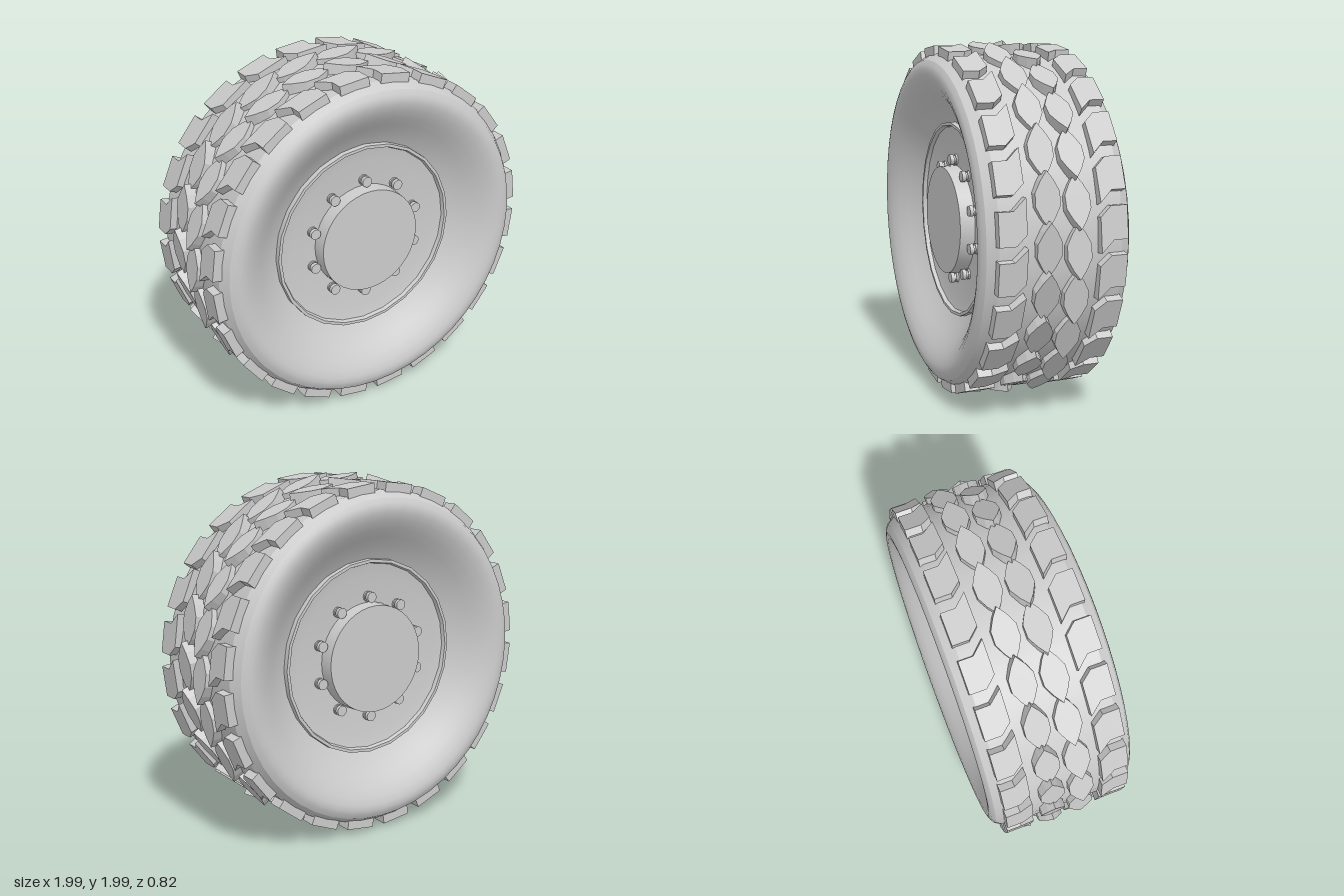
import * as THREE from 'three';
import { toCreasedNormals } from 'three/addons/utils/BufferGeometryUtils.js';

const material = new THREE.MeshStandardMaterial({ color: 0xcccccc });
const LUGS = 24;
const STEP = (Math.PI * 2) / LUGS;

function part(name, geometry) {
  const mesh = new THREE.Mesh(geometry, material);
  mesh.name = name;
  return mesh;
}

// Surface of revolution about z, from [radius, z] points
function turned(profile, segments, crease) {
  const points = profile.map(([r, z]) => new THREE.Vector2(r, z));
  const geometry = new THREE.LatheGeometry(points, segments).rotateX(Math.PI / 2);
  return toCreasedNormals(geometry, crease);
}

// Tread block at the top of the wheel, from a [tangent, z] outline
function lugGeometry(outline, inner, outer, tilt = 0) {
  const shape = new THREE.Shape(outline.map(([t, z]) => new THREE.Vector2(-t, -z)));
  return new THREE.ExtrudeGeometry(shape, { depth: outer - inner, bevelEnabled: false })
    .rotateX(-Math.PI / 2)
    .translate(0, inner - outer, 0)
    .rotateZ(tilt)
    .translate(0, outer, 0);
}

// Repeat a block all around the tyre
function lugRing(name, geometry, phase) {
  const ring = new THREE.Group();
  ring.name = name;
  for (let i = 0; i < LUGS; i++) {
    const lug = part('treadBlock', geometry);
    lug.rotation.z = phase + i * STEP;
    ring.add(lug);
  }
  return ring;
}

// Cylinder facing +z between two depths
function disc(radius, back, front, segments, topRadius = radius) {
  const geometry = new THREE.CylinderGeometry(topRadius, radius, front - back, segments)
    .rotateX(Math.PI / 2)
    .translate(0, 0, (front + back) / 2);
  return toCreasedNormals(geometry, 0.7);
}

// Everything that sits on one face of the wheel
function buildSide(name) {
  const side = new THREE.Group();
  side.name = name;

  // Shallow dished rim with a raised lip
  side.add(part('rim', turned([
    [0.555, 0.2], [0.552, 0.272], [0.535, 0.272], [0.528, 0.25], [0.46, 0.237], [0, 0.235],
  ], 24, 0.5)));

  side.add(part('hubCap', disc(0.308, 0.22, 0.32, 40, 0.303)));

  // Wheel nuts: washer, stem and head
  const nuts = new THREE.Group();
  nuts.name = 'wheelNuts';
  for (let i = 0; i < 10; i++) {
    const nut = new THREE.Group();
    nut.name = 'wheelNut';
    nut.add(
      part('washer', disc(0.03, 0.23, 0.247, 12)),
      part('stem', disc(0.022, 0.24, 0.265, 12)),
      part('head', disc(0.03, 0.258, 0.28, 12)),
    );
    const a = (i * Math.PI) / 5;
    nut.position.set(0.341 * Math.sin(a), 0.341 * Math.cos(a), 0);
    nuts.add(nut);
  }
  side.add(nuts);

  // Shoulder blocks with a slanted inner end
  const shoulder = lugGeometry([
    [-0.085, 0.35], [0.09, 0.35], [0.09, 0.27], [0.155, 0.2], [-0.03, 0.2], [-0.085, 0.26],
  ], 0.905, 0.973);
  side.add(lugRing('shoulderTread', shoulder, STEP / 2));

  // Centre row of long pointed blocks, each lifted at its leading end
  const arrow = [
    [-0.144, 0], [-0.095, -0.036], [-0.036, -0.067], [0.036, -0.067], [0.095, -0.036],
    [0.144, 0], [0.095, 0.036], [0.036, 0.067], [-0.036, 0.067], [-0.095, 0.036],
  ].map(([t, w]) => [t, w + 0.081]);
  side.add(lugRing('centreTread', lugGeometry(arrow, 0.9, 0.973, -0.13), 0.01));
  return side;
}

export function createModel() {
  const wheel = new THREE.Group();
  wheel.name = 'wheel';
  const body = new THREE.Group();
  body.name = 'wheelBody';
  body.position.y = 1;
  wheel.add(body);

  // Tyre carcass: dished sidewalls, chamfered shoulders, flat tread base
  const half = [
    [0.935, 0.335], [0.9, 0.39], [0.875, 0.405], [0.85, 0.412], [0.82, 0.409], [0.78, 0.394],
    [0.73, 0.364], [0.68, 0.326], [0.63, 0.289], [0.58, 0.257], [0.54, 0.235],
  ];
  const back = half.map(([r, z]) => [r, -z]).reverse();
  body.add(part('tyre', turned([...back, ...half], 48, 0.45)));

  // Both faces, the rear one turned half round
  const rear = buildSide('rearSide');
  rear.rotation.y = Math.PI;
  body.add(buildSide('frontSide'), rear);
  return wheel;
}
